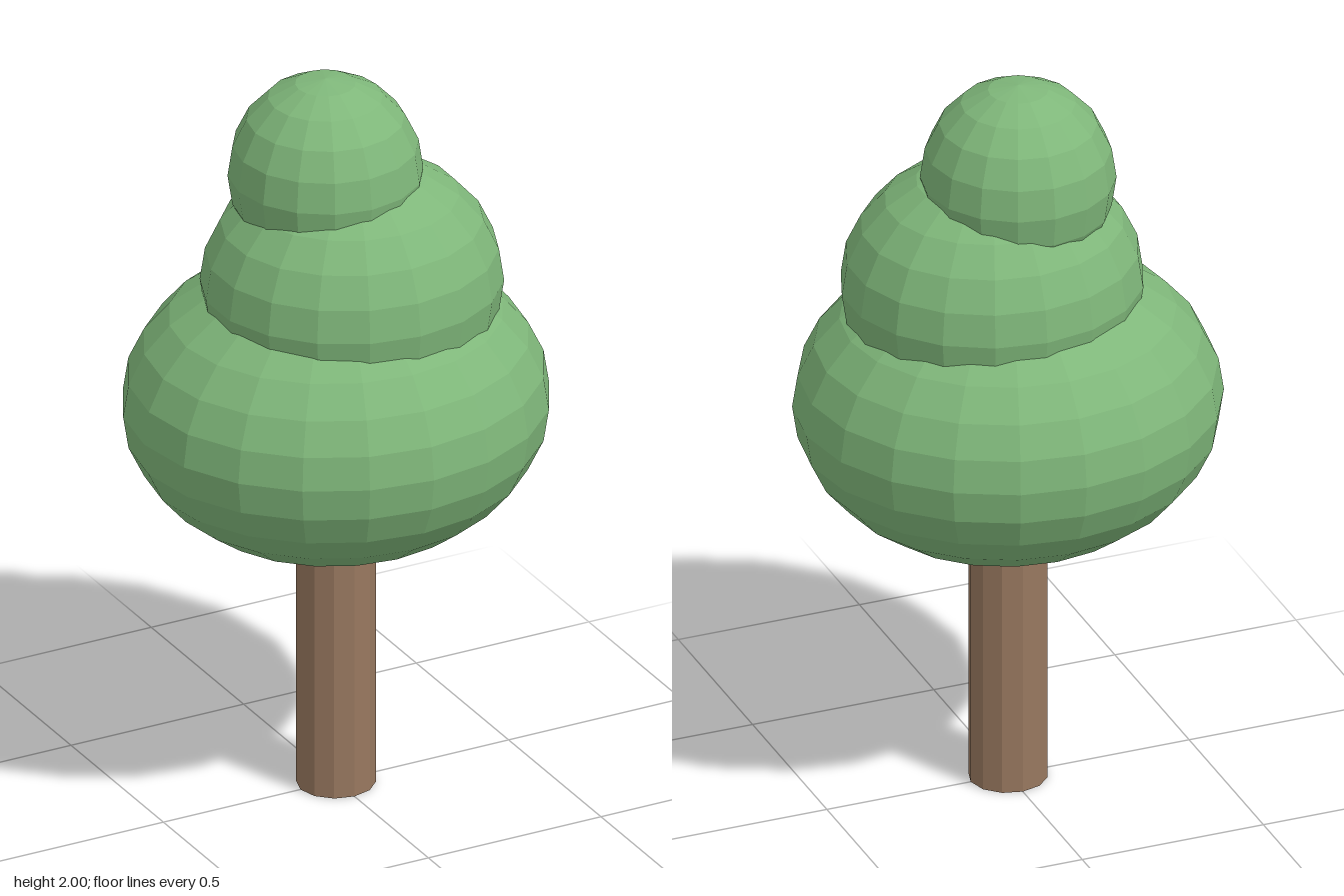
import * as THREE from 'three';

export function createModel() {
  const leaf = new THREE.MeshStandardMaterial({ color: 0x7fb77a });
  leaf.name = 'leaf green';
  leaf.flatShading = true;
  const bark = new THREE.MeshStandardMaterial({ color: 0x98785f });
  bark.name = 'bark brown';
  bark.flatShading = true;

  const tree = new THREE.Group();
  tree.name = 'tree';

  const add = (name, geometry, material, position) => {
    const mesh = new THREE.Mesh(geometry, material);
    mesh.name = name;
    mesh.position.set(...position);
    tree.add(mesh);
  };

  // Straight trunk, ending inside the lowest foliage ball
  const trunk = new THREE.CylinderGeometry(1, 1, 0.8, 12).scale(0.103, 1, 0.1);
  add('trunk', trunk, bark, [0, 0.4, 0]);

  // Three stacked, slightly offset foliage balls: sides, rows, radii, centre
  const balls = [
    ['lowerFoliage', 20, 14, [0.556, 0.4, 0.531], [0, 1.09, 0]],
    ['middleFoliage', 18, 12, [0.394, 0.34, 0.373], [0.037, 1.43, 0.017]],
    ['upperFoliage', 16, 10, [0.251, 0.265, 0.252], [-0.02, 1.735, -0.02]],
  ];
  for (const [name, sides, rows, radii, centre] of balls) {
    const ball = new THREE.SphereGeometry(1, sides, rows);
    ball.rotateY(Math.PI / 2).scale(...radii); // a corner of each ring points to the front
    add(name, ball, leaf, centre);
  }

  return tree;
}
